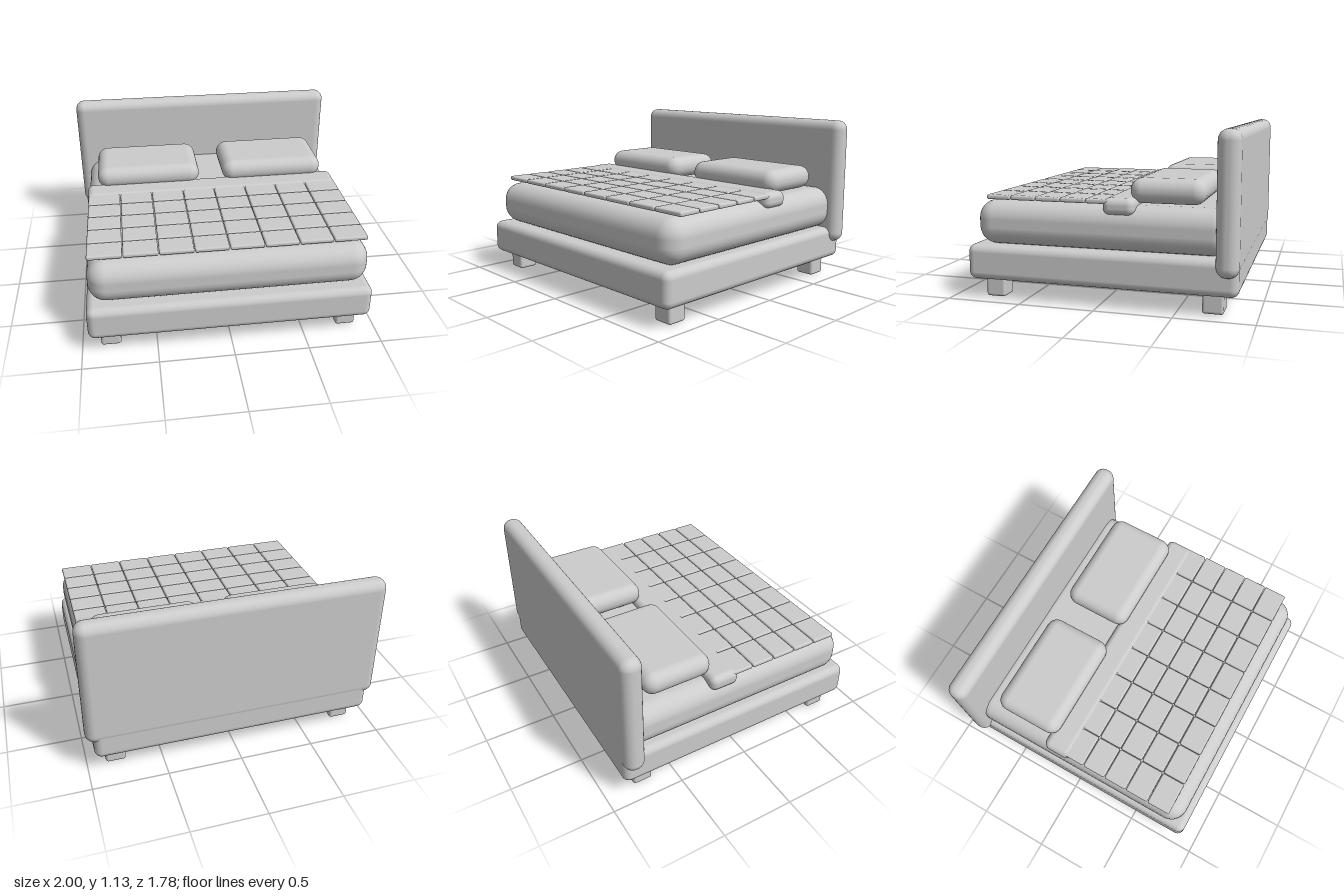
import * as THREE from 'three';
import { RoundedBoxGeometry } from 'three/addons/geometries/RoundedBoxGeometry.js';

export function createModel() {
  const model = new THREE.Group();
  model.name = 'bed';
  const grey = new THREE.MeshStandardMaterial({ color: 0xcccccc });
  grey.name = 'light grey';

  // Rounded block given by its [min, max] extent on each axis
  function block(name, [x0, x1], [y0, y1], [z0, z1], radius, segments = 4, parent = model) {
    const geometry = new RoundedBoxGeometry(x1 - x0, y1 - y0, z1 - z0, segments, radius);
    const mesh = new THREE.Mesh(geometry, grey);
    mesh.name = name;
    mesh.position.set((x0 + x1) / 2, (y0 + y1) / 2, (z0 + z1) / 2);
    parent.add(mesh);
    return mesh;
  }

  // Main body
  block('frame', [-0.95, 0.95], [0.125, 0.357], [-0.887, 0.887], 0.05);
  block('headboard', [-1, 1], [0.25, 1.13], [-0.89, -0.748], 0.065);
  block('mattress', [-0.93, 0.93], [0.352, 0.645], [-0.84, 0.84], 0.12);

  // Legs at the four corners, a pillow on each side
  for (const side of [-1, 1]) {
    const label = side > 0 ? 'left' : 'right';
    for (const end of [-1, 1]) {
      const x = side * 0.808, z = end * 0.724;
      block(label + (end > 0 ? 'FrontLeg' : 'BackLeg'),
        [x - 0.067, x + 0.067], [0, 0.14], [z - 0.067, z + 0.067], 0.018, 3);
    }
    block(label + 'Pillow',
      [side * 0.47 - 0.38, side * 0.47 + 0.38], [0.653, 0.813], [-0.665, -0.182], 0.078);
  }

  // Folded end of the blanket
  block('blanketFold', [-0.93, 0.93], [0.586, 0.695], [-0.24, -0.035], 0.045);

  // Quilt of padded tiles
  const quilt = new THREE.Group();
  quilt.name = 'quilt';
  model.add(quilt);
  const columns = 8, rows = 5, width = 0.2305, depth = 0.168, gap = 0.002;
  for (let c = 0; c < columns; c++) {
    for (let r = 0; r < rows; r++) {
      const x = (c - columns / 2) * width, z = 0.75 - r * depth;
      block('quiltTile', [x + gap, x + width - gap], [0.657, 0.688],
        [z - depth + gap, z - gap], 0.012, 2, quilt);
    }
  }
  return model;
}
